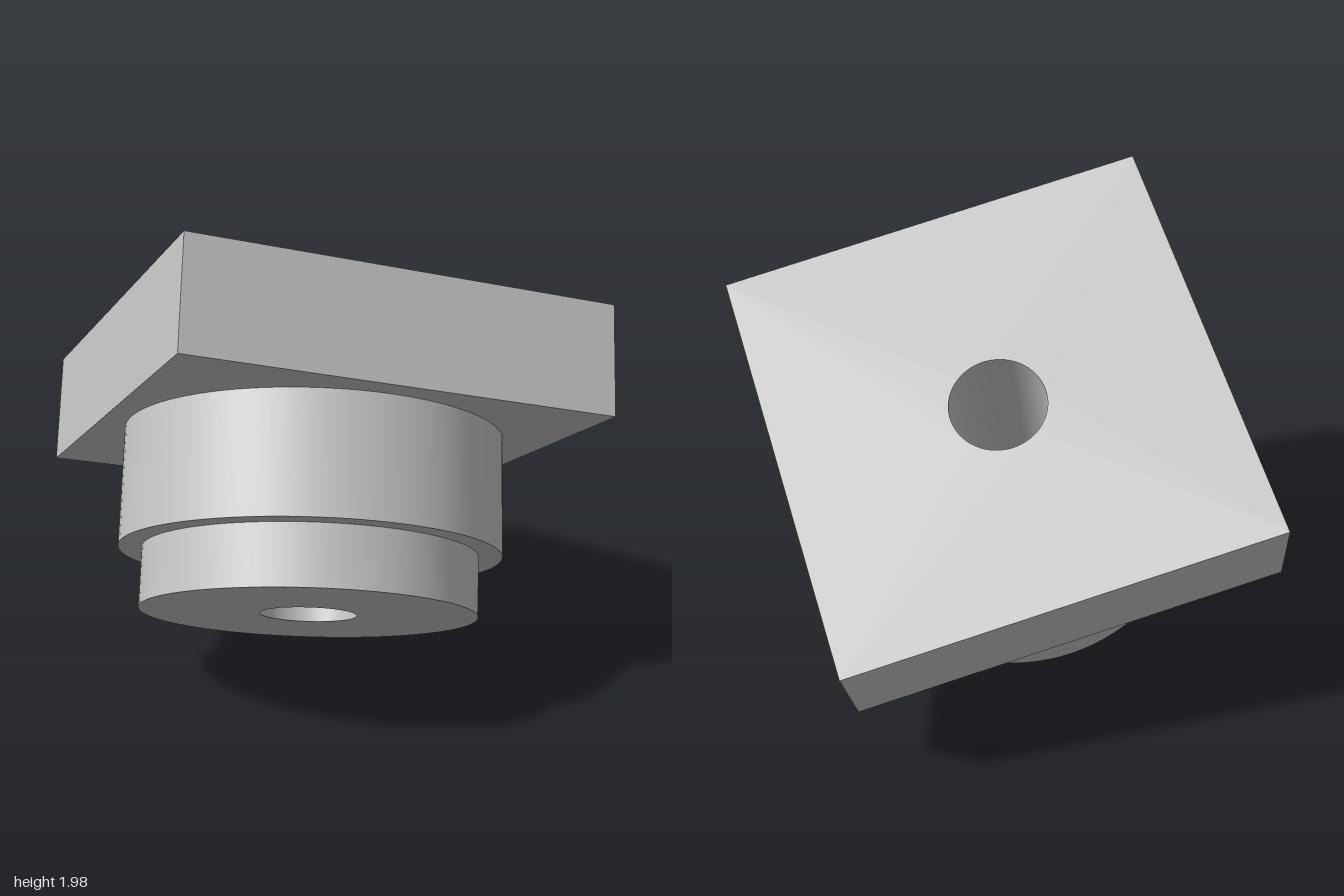
import * as THREE from 'three';
import { toCreasedNormals } from 'three/addons/utils/BufferGeometryUtils.js';

const BORE = 0.194, THICK = 0.45, HALF = 0.875, SEGMENTS = 96;

export function createModel() {
  const grey = new THREE.MeshStandardMaterial({ color: 0xc0c0c0 });
  grey.name = 'grey';

  // Local frame: y runs along the bore, y = 0 is the outer face of the plate
  const model = new THREE.Group();
  model.name = 'flangedBushing';
  const add = (name, geometry) => {
    const mesh = new THREE.Mesh(toCreasedNormals(geometry, 0.5), grey);
    mesh.name = name;
    model.add(mesh);
  };

  // Square plate with a round hole
  const cx = 0.01, cy = -0.01;
  const square = new THREE.Shape([[-1, -1], [1, -1], [1, 1], [-1, 1]].map(
    ([x, y]) => new THREE.Vector2(cx + x * HALF, cy + y * HALF)));
  square.holes.push(new THREE.Path().absarc(0, 0, BORE, 0, Math.PI * 2, true));
  const plate = new THREE.ExtrudeGeometry(square, {
    depth: THICK, bevelEnabled: false, curveSegments: SEGMENTS / 2,
  });
  plate.rotateX(-Math.PI / 2).translate(0, -THICK, 0);
  add('squarePlate', plate);

  // Stepped round boss, bored through: down the bore, out, and up the steps
  const profile = [
    [BORE, -THICK], [BORE, -1.173], [0.676, -1.173],
    [0.676, -0.932], [0.77, -0.932], [0.77, -THICK],
  ].map(([r, y]) => new THREE.Vector2(r, y));
  add('steppedBoss', new THREE.LatheGeometry(profile, SEGMENTS));

  // Tilt the whole part
  model.rotation.set(-Math.PI / 6, 0, THREE.MathUtils.degToRad(-13.17), 'ZYX');
  model.position.set(0.031, 1.357, -0.212);

  const root = new THREE.Group();
  root.add(model);
  return root;
}
